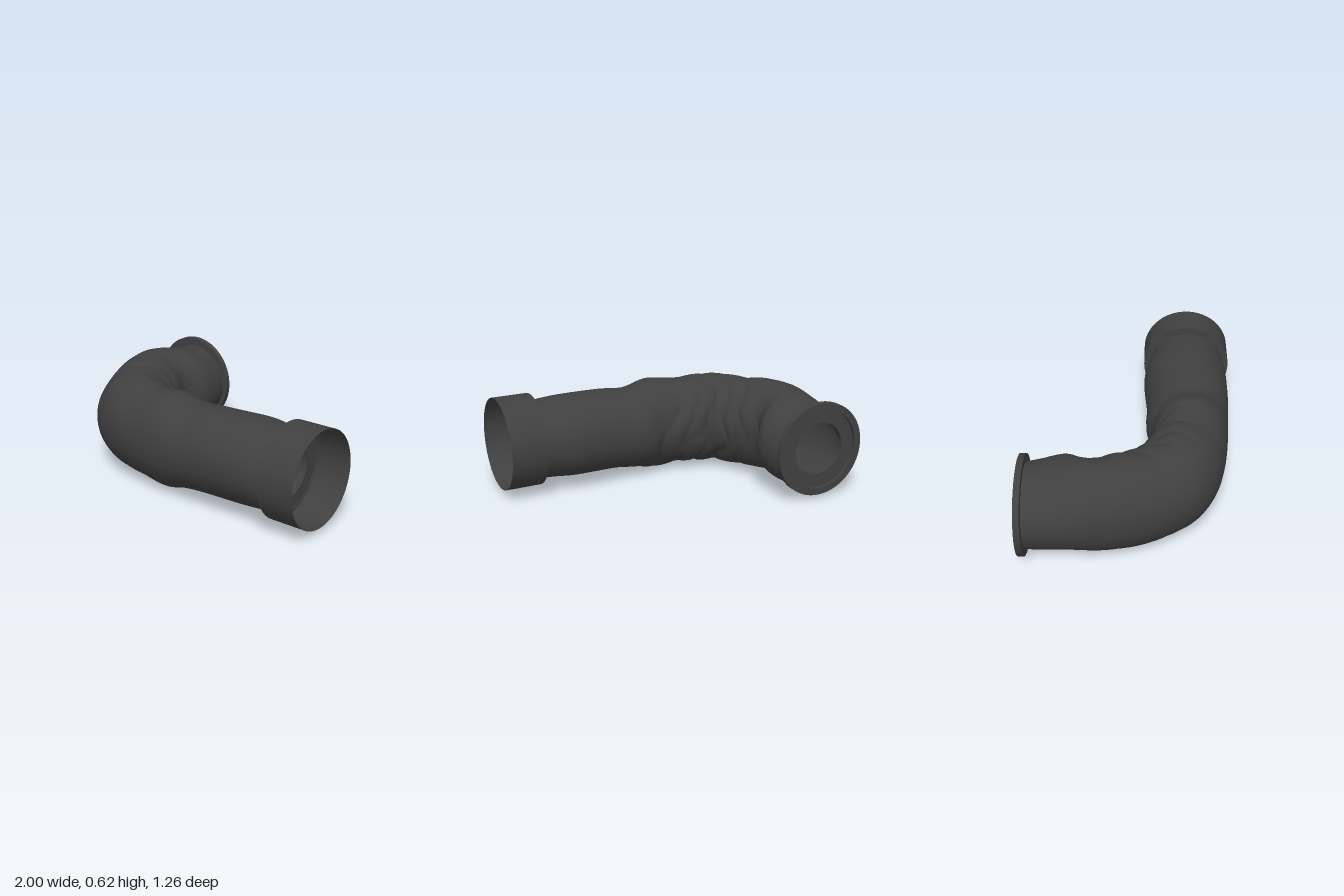
import * as THREE from 'three';

const material = new THREE.MeshStandardMaterial({ color: 0x404040, roughness: 0.9, side: THREE.DoubleSide });

// Sleeve stations: outer x, outer z, inner x, inner z, bottom y, top y
const STATIONS = [
  [-0.95, -0.61, -0.45, -0.61, 0.06, 0.55],
  [-0.955, -0.48, -0.42, -0.50, 0.05, 0.56],
  [-0.955, -0.34, -0.415, -0.38, 0.05, 0.59],
  [-0.93, -0.15, -0.485, -0.26, 0.04, 0.61],
  [-0.88, 0.05, -0.44, -0.14, 0.025, 0.61],
  [-0.79, 0.24, -0.39, -0.04, 0.02, 0.59],
  [-0.66, 0.41, -0.33, 0.035, 0.025, 0.59],
  [-0.48, 0.515, -0.25, 0.07, 0.02, 0.59],
  [-0.27, 0.565, -0.16, 0.10, 0.015, 0.58],
  [-0.04, 0.59, -0.04, 0.12, 0.0, 0.595],
  [0.14, 0.60, 0.08, 0.08, 0.03, 0.555],
  [0.32, 0.61, 0.26, 0.08, 0.05, 0.565],
  [0.55, 0.61, 0.54, 0.06, 0.055, 0.57],
  [0.68, 0.605, 0.68, 0.08, 0.065, 0.56],
  [0.79, 0.585, 0.79, 0.095, 0.07, 0.55],
];

// Catmull-Rom blend of neighbouring stations
function stationAt(t) {
  const last = STATIONS.length - 1;
  const p = t * last, i = Math.min(Math.floor(p), last - 1), f = p - i;
  const at = (k) => STATIONS[Math.max(0, Math.min(last, k))];
  return STATIONS[0].map((_, c) => {
    const a = at(i - 1)[c], b = at(i)[c], d = at(i + 1)[c], e = at(i + 2)[c];
    return b + 0.5 * f * (d - a + f * (2 * a - 5 * b + 4 * d - e + f * (3 * (b - d) + e - a)));
  });
}

// Sharp-valleyed wave, from -1 to 1
const crease = (x) => 2 * Math.sqrt(Math.abs(Math.sin(x))) - 1;

// Cloth folds, strongest along the inside of the bend
function fold(t, a) {
  const inner = (1 - Math.cos(a)) / 2;
  const bend = Math.exp(-(((t - 0.45) / 0.2) ** 2));
  const ends = Math.min(1, t * 12, (1 - t) * 12);
  const warp = 1.3 * Math.sin(2 * a + 5 * t) + 0.6 * Math.sin(5 * a - 9 * t);
  const tight = crease(40 * t + warp) * 0.05 * bend * inner ** 1.3;
  const slanted = crease(19 * t + 2 * Math.sin(a) + 0.8 * Math.sin(3 * a + 11 * t)) * 0.028 * bend * inner ** 0.6;
  const loose = 0.012 * Math.sin(16 * t + 2 * Math.sin(a + 1)) * Math.sin(3 * a + 7 * t) * (0.4 + inner);
  return 1 + ends * (tight + slanted + loose) - 0.015 * bend * inner;
}

function sleeveGeometry(rows = 190, cols = 80) {
  const positions = [], indices = [];
  for (let i = 0; i <= rows; i++) {
    const t = i / rows;
    const [ox, oz, ix, iz, low, high] = stationAt(t);
    for (let j = 0; j < cols; j++) {
      const a = (j / cols) * Math.PI * 2;
      const s = fold(t, a);
      const u = (Math.cos(a) * s) / 2;
      positions.push(
        (ox + ix) / 2 + (ox - ix) * u,
        (low + high) / 2 + ((high - low) / 2) * Math.sin(a) * s,
        (oz + iz) / 2 + (oz - iz) * u,
      );
      if (i < rows) {
        const k = i * cols + j, n = i * cols + ((j + 1) % cols);
        indices.push(k, k + cols, n, n, k + cols, n + cols);
      }
    }
  }
  const geometry = new THREE.BufferGeometry();
  geometry.setAttribute('position', new THREE.Float32BufferAttribute(positions, 3));
  geometry.setIndex(indices);
  geometry.computeVertexNormals();
  return geometry;
}

// Turned ring with hard edges: each profile segment is its own lathe strip
function turnedRing(name, profile) {
  const group = new THREE.Group();
  group.name = name;
  for (let i = 0; i < profile.length - 1; i++) {
    const points = [profile[i], profile[i + 1]].map(([r, y]) => new THREE.Vector2(r, y));
    const strip = new THREE.Mesh(new THREE.LatheGeometry(points, 64), material);
    strip.name = name + 'Face';
    group.add(strip);
  }
  return group;
}

export function createModel() {
  const model = new THREE.Group();
  model.name = 'bentSleeve';

  const sleeve = new THREE.Mesh(sleeveGeometry(), material);
  sleeve.name = 'sleeve';
  model.add(sleeve);

  // Open shoulder cuff, its axis along +x
  const cuff = turnedRing('cuff', [
    [0.165, -0.03], [0.165, 0.015], [0.242, 0.015], [0.242, 0], [0.287, 0], [0.287, 0.225],
  ]);
  cuff.rotation.z = -Math.PI / 2;
  cuff.position.set(0.775, 0.317, 0.343);
  model.add(cuff);

  // Wrist flange with a recessed face and round opening, its axis along -z
  const flange = turnedRing('wristFlange', [
    [0.245, 0], [0.293, 0], [0.293, 0.036], [0.25, 0.036], [0.25, 0.015], [0.165, 0.015], [0.165, -0.03],
  ]);
  flange.rotation.x = -Math.PI / 2;
  flange.position.set(-0.707, 0.315, -0.592);
  model.add(flange);

  return model;
}
